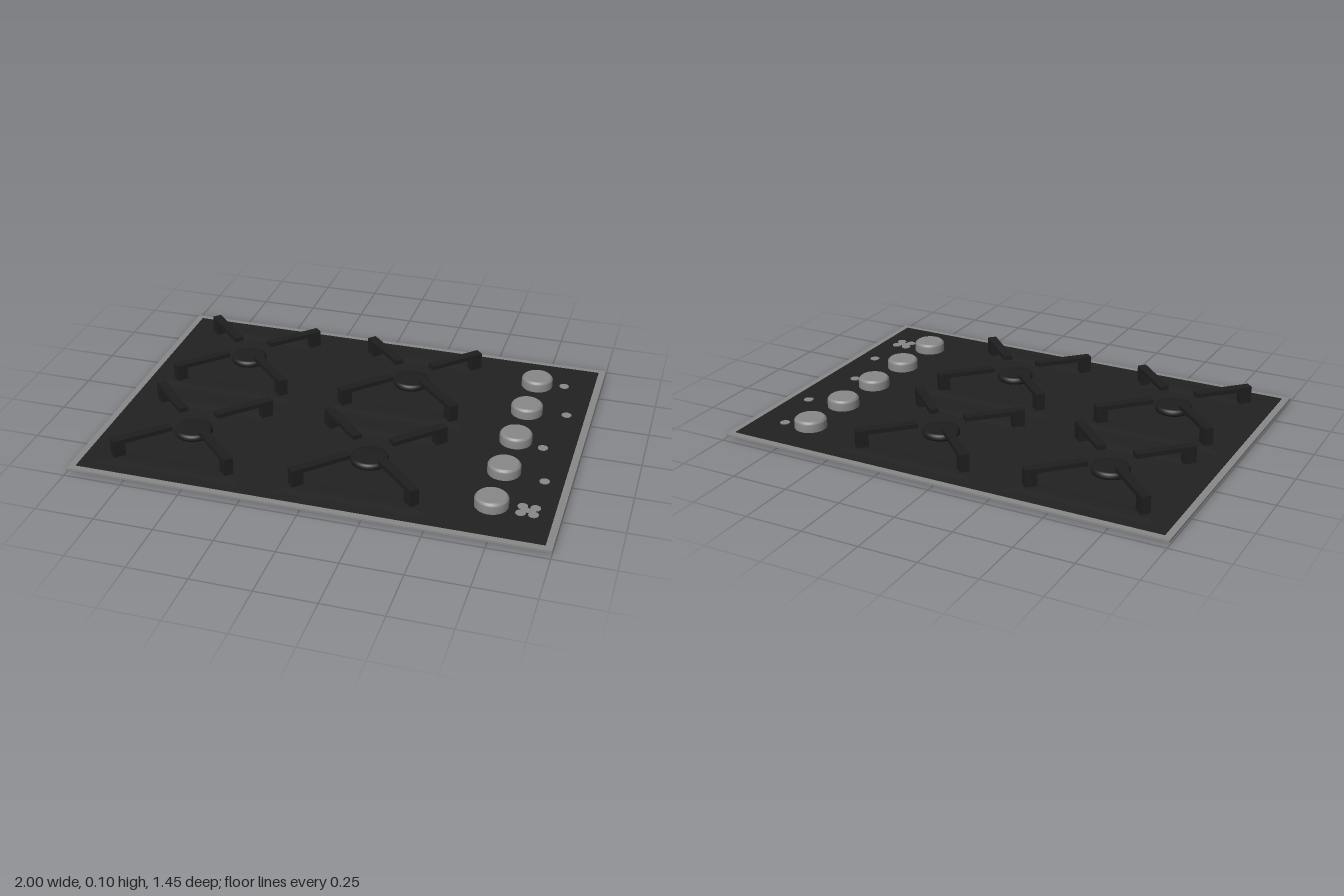
import * as THREE from 'three';

const mat = (name, color) => {
  const m = new THREE.MeshStandardMaterial({ color });
  m.name = name;
  return m;
};

const PLATE_BOTTOM = 0.011, PLATE_TOP = 0.02, GLASS_TOP = 0.0225;

export function createModel() {
  const steel = mat('steel', 0x888888);
  const glass = mat('blackGlass', 0x222222);
  const iron = mat('castIron', 0x1e1e1e);

  const model = new THREE.Group();
  model.name = 'gasHob';

  const add = (parent, name, geometry, material, x = 0, y = 0, z = 0) => {
    const mesh = new THREE.Mesh(geometry, material);
    mesh.name = name;
    mesh.position.set(x, y, z);
    parent.add(mesh);
    return mesh;
  };
  const box = (x0, x1, y0, y1, depth) =>
    new THREE.BoxGeometry(x1 - x0, y1 - y0, depth).translate((x0 + x1) / 2, (y0 + y1) / 2, 0);
  const lathe = (points, segments, phi = 0) =>
    new THREE.LatheGeometry(points.map(([r, y]) => new THREE.Vector2(r, y)), segments, phi);
  const flat = (geometry) => {
    const g = geometry.toNonIndexed();
    g.computeVertexNormals();
    return g;
  };

  // Steel tray with a narrow visible rim, and the dark cooking surface on it
  add(model, 'steelTray', box(-1, 1, PLATE_BOTTOM, PLATE_TOP, 1.452), steel);
  add(model, 'cookingSurface', box(-0.97, 0.97, PLATE_TOP, GLASS_TOP, 1.394), glass);

  // Square raised border pressed around each burner (half-widths and heights)
  const border = flat(lathe(
    [[0.315, 0], [0.28, 0.005], [0.245, 0.005], [0.205, 0]].map(([h, y]) => [h * Math.SQRT2, y]),
    4, Math.PI / 4));

  // Burner: narrow base under a wide, rounded cap
  const burnerBase = new THREE.CylinderGeometry(0.05, 0.055, 0.022, 32);
  const burnerCap = lathe([[0, 0.029], [0.066, 0.029], [0.076, 0.034], [0.08, 0.042],
    [0.08, 0.05], [0.076, 0.058], [0.068, 0.062], [0, 0.062]], 40);

  // Pan support: a diagonal finger on a foot
  const finger = box(0.102, 0.362, 0.083, 0.102, 0.04);
  const foot = box(0.312, 0.362, 0, 0.083, 0.04);

  for (const x of [-0.595, 0.178]) {
    for (const z of [-0.338, 0.338]) {
      const burner = new THREE.Group();
      burner.name = 'burner';
      burner.position.set(x, 0, z);
      model.add(burner);
      add(burner, 'pressedBorder', border, glass, 0, GLASS_TOP, 0);
      add(burner, 'burnerBase', burnerBase, iron, 0, 0.026, 0);
      add(burner, 'burnerCap', burnerCap, iron);
      for (let i = 0; i < 4; i++) {
        const support = new THREE.Group();
        support.name = 'panSupport';
        support.rotation.y = Math.PI / 4 + i * Math.PI / 2;
        burner.add(support);
        add(support, 'finger', finger, iron);
        add(support, 'foot', foot, iron);
      }
    }
  }

  // Control knobs with a bevelled top edge
  const knobSide = lathe([[0.069, 0.022], [0.069, 0.056], [0.066, 0.062], [0.059, 0.068]], 40);
  const knobTop = new THREE.CircleGeometry(0.059, 40).rotateX(-Math.PI / 2);
  const dot = new THREE.CylinderGeometry(0.021, 0.021, 0.003, 20);
  const dotAt = (x, z) => add(model, 'indicatorDot', dot, steel, x, 0.0235, z);

  for (let i = 0; i < 5; i++) {
    const z = -0.505 + i * 0.2495;
    const knob = new THREE.Group();
    knob.name = 'knob';
    knob.position.set(0.72, 0, z);
    model.add(knob);
    add(knob, 'knobSide', knobSide, steel);
    add(knob, 'knobTop', knobTop, steel, 0, 0.068, 0);

    // One dot for the burner each knob serves
    if (i < 4) dotAt(i % 2 ? 0.891 : 0.84, z + (i < 2 ? -0.02 : 0.026));
  }

  // Cluster of dots beside the front knob
  for (const x of [0.84, 0.891]) for (const z of [0.469, 0.516]) dotAt(x, z);
  add(model, 'indicatorCentre', new THREE.BoxGeometry(0.06, 0.003, 0.03), steel, 0.866, 0.0235, 0.4925);

  return model;
}
